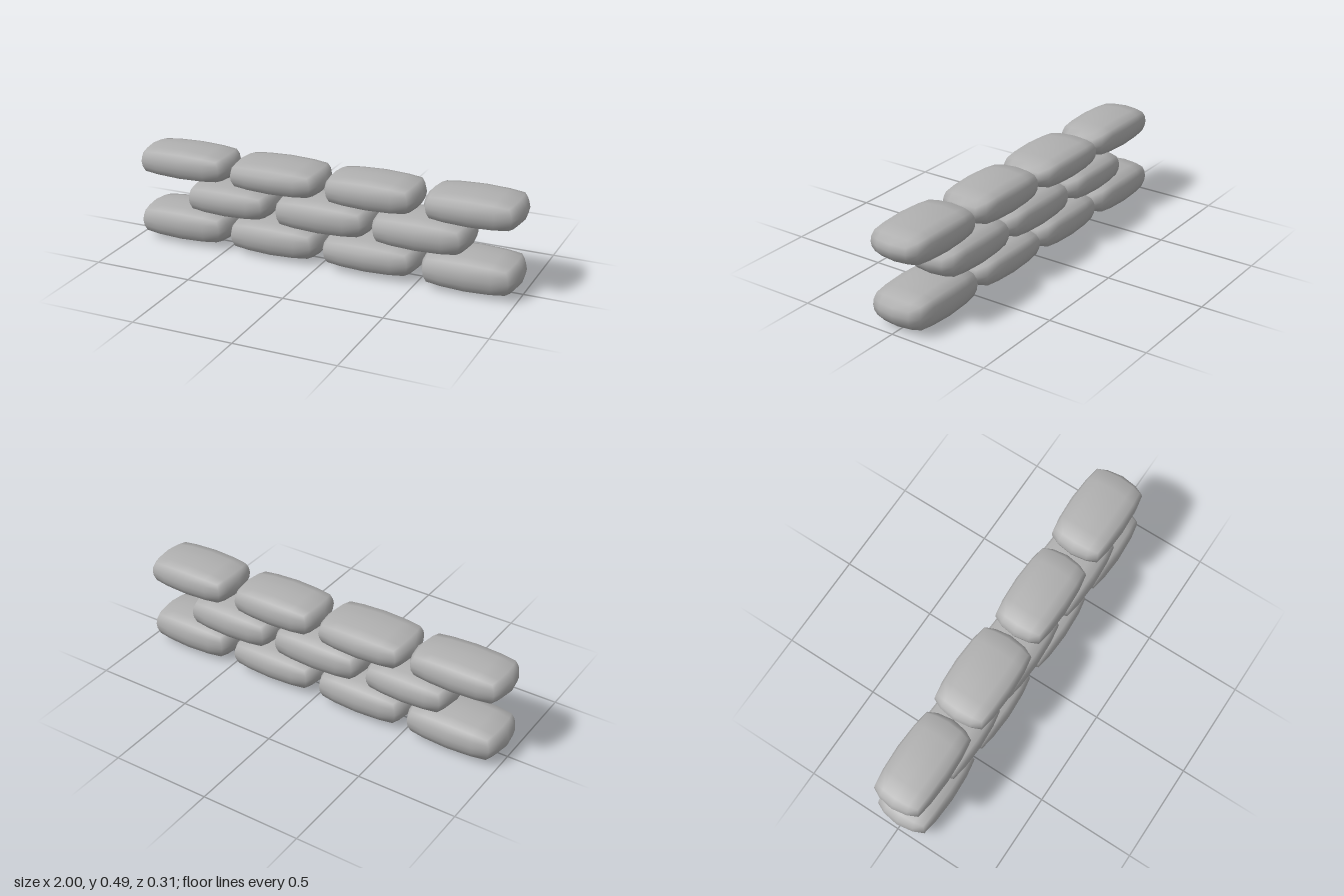
import * as THREE from 'three';
import { mergeVertices } from 'three/addons/utils/BufferGeometryUtils.js';

// A plump bag: a 4x4x4 box bulged towards an ellipsoid, half extents of 1
function bagGeometry() {
  let geo = new THREE.BoxGeometry(2, 2, 2, 4, 4, 4);
  geo.deleteAttribute('normal');
  geo.deleteAttribute('uv');
  geo = mergeVertices(geo);
  geo.clearGroups();
  const p = geo.attributes.position;
  const warp = (v) => (Math.abs(v) === 0.5 ? Math.sign(v) * 0.62 : v);
  // roundness 0 keeps the cube, 1 gives the sphere
  const bulge = (a, b, c, roundness) => {
    const s = Math.sqrt(1 - (b * b + c * c) / 2 + (b * b * c * c) / 3);
    return a * (1 + (s - 1) * roundness);
  };
  for (let i = 0; i < p.count; i++) {
    const x = warp(p.getX(i)), y = p.getY(i), z = warp(p.getZ(i));
    p.setXYZ(i, bulge(x, y, z, 0.5), bulge(y, x, z, 0.9), bulge(z, x, y, 0.5));
  }
  return geo;
}

export function createModel() {
  const model = new THREE.Group();
  model.name = 'sandbagWall';
  const canvas = new THREE.MeshStandardMaterial({ color: 0xb0b0b0 });
  canvas.name = 'greyCanvas';
  const base = bagGeometry();

  // Each bag: x from, x to, y from, y to, half depth
  const rows = {
    bottomRow: [
      [-1, -0.495, 0.004, 0.184, 0.155],
      [-0.5, 0, 0.004, 0.181, 0.152],
      [0, 0.505, 0.01, 0.176, 0.155],
      [0.51, 1, 0, 0.185, 0.157],
    ],
    middleRow: [
      [-0.73, -0.265, 0.167, 0.331, 0.15],
      [-0.255, 0.26, 0.161, 0.337, 0.148],
      [0.255, 0.757, 0.161, 0.337, 0.155],
    ],
    topRow: [
      [-1, -0.495, 0.323, 0.488, 0.143],
      [-0.495, 0, 0.325, 0.482, 0.156],
      [0.008, 0.495, 0.32, 0.488, 0.146],
      [0.515, 1, 0.323, 0.49, 0.153],
    ],
  };

  for (const [rowName, bags] of Object.entries(rows)) {
    const row = new THREE.Group();
    row.name = rowName;
    bags.forEach(([x0, x1, y0, y1, depth], i) => {
      const geo = base.clone();
      geo.scale((x1 - x0) / 2, (y1 - y0) / 2, depth);
      geo.computeVertexNormals();
      const bag = new THREE.Mesh(geo, canvas);
      bag.name = `sandbag${i + 1}`;
      bag.position.set((x0 + x1) / 2, (y0 + y1) / 2, 0);
      row.add(bag);
    });
    model.add(row);
  }
  return model;
}
